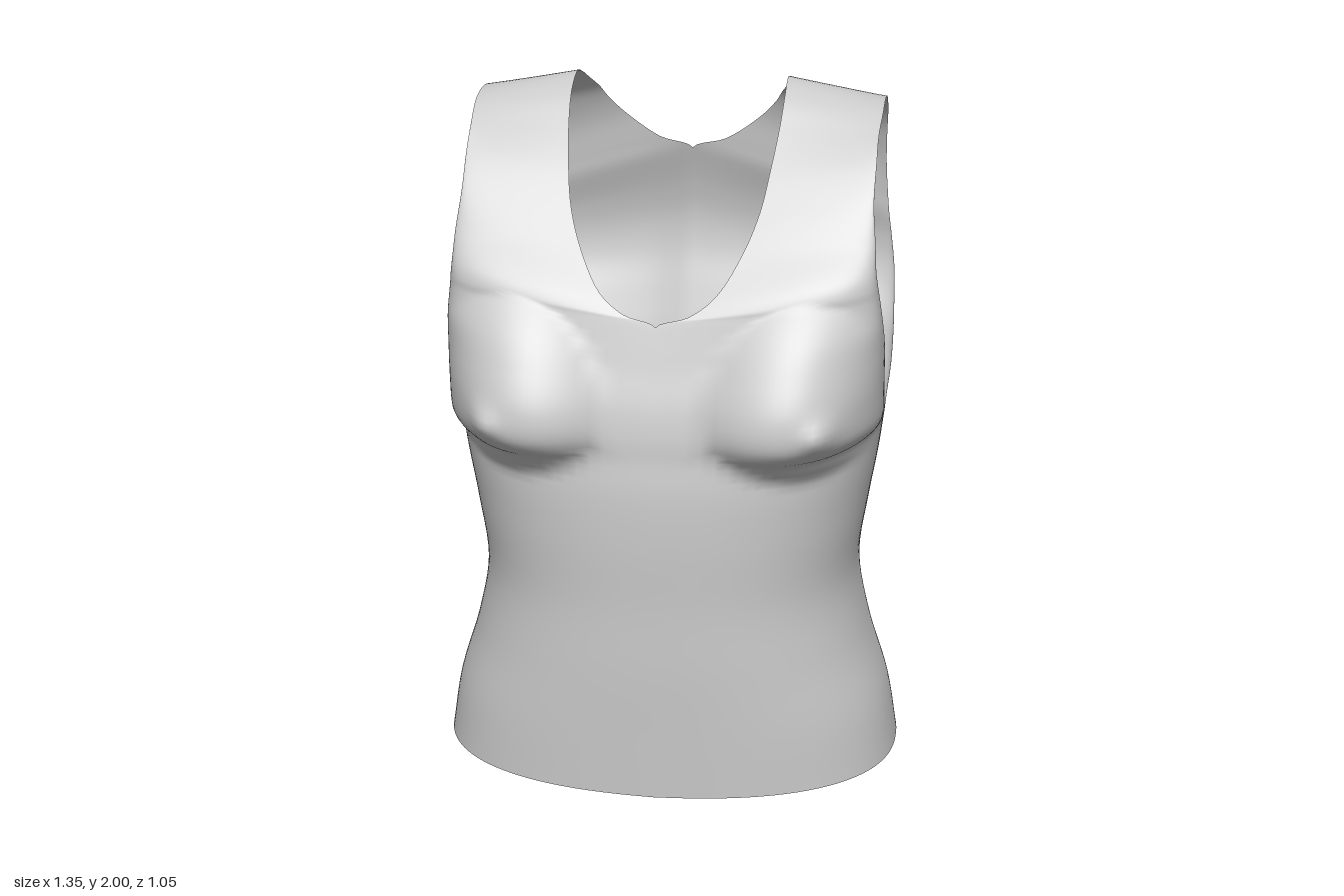
import * as THREE from 'three';
import { mergeVertices } from 'three/addons/utils/BufferGeometryUtils.js';

// Each row is a cross-section: inner edge x, y, z, outer edge x, y, z, squareness
const SEAM = [[0.675, 0.02, -0.05], [0.645, 0.2, -0.05], [0.585, 0.4, -0.05], [0.55, 0.6, -0.05],
  [0.575, 0.8, -0.05], [0.6, 0.95, -0.04], [0.615, 1.067, -0.02]];
const FRONT = [[0.005, 0.43], [0.2, 0.44], [0.4, 0.45], [0.6, 0.455], [0.8, 0.465], [0.95, 0.465], [1.05, 0.455]];
const BACK = [[0.03, -0.525], [0.2, -0.455], [0.4, -0.395], [0.6, -0.365], [0.8, -0.375], [0.95, -0.395], [1.04, -0.415]];

// Armhole front, over the shoulder, armhole back
const STRAP_FRONT = [
  [0, 1.05, 0.455, 0.615, 1.067, -0.02, 2.5],
  [0, 1.12, 0.45, 0.62, 1.12, 0.08, 2.9],
  [0, 1.2, 0.435, 0.62, 1.22, 0.115, 3],
  [0, 1.3, 0.405, 0.62, 1.32, 0.14, 3],
  [0, 1.37, 0.385, 0.615, 1.4, 0.18, 3],
  [0, 1.42, 0.37, 0.605, 1.48, 0.2, 2.8],
  [0.09, 1.45, 0.36, 0.6, 1.52, 0.215, 2.6],
  [0.16, 1.5, 0.33, 0.595, 1.56, 0.22, 2.5],
  [0.225, 1.6, 0.25, 0.59, 1.63, 0.2, 2.3],
  [0.265, 1.7, 0.17, 0.58, 1.73, 0.15, 2],
  [0.285, 1.8, 0.085, 0.58, 1.82, 0.075, 2],
  [0.3, 1.9, -0.02, 0.58, 1.885, 0, 2],
  [0.305, 1.965, -0.1, 0.585, 1.93, -0.1, 2],
];
const STRAP_BACK = [
  [0.305, 2, -0.2, 0.585, 1.945, -0.2, 2],
  [0.305, 1.98, -0.29, 0.585, 1.93, -0.3, 2],
  [0.295, 1.95, -0.35, 0.585, 1.88, -0.36, 2],
  [0.27, 1.91, -0.4, 0.582, 1.82, -0.4, 2],
  [0.25, 1.875, -0.425, 0.58, 1.76, -0.425, 2],
  [0.2, 1.82, -0.45, 0.58, 1.69, -0.445, 2],
  [0.1, 1.75, -0.465, 0.585, 1.6, -0.46, 2],
  [0, 1.72, -0.475, 0.59, 1.54, -0.465, 2],
  [0, 1.6, -0.51, 0.6, 1.46, -0.47, 2],
  [0, 1.5, -0.525, 0.61, 1.38, -0.455, 2],
  [0, 1.4, -0.515, 0.615, 1.3, -0.41, 2.1],
  [0, 1.28, -0.48, 0.62, 1.22, -0.32, 2.2],
  [0, 1.18, -0.45, 0.62, 1.14, -0.23, 2.3],
  [0, 1.1, -0.43, 0.615, 1.085, -0.13, 2.3],
  [0, 1.04, -0.415, 0.615, 1.067, -0.02, 2.3],
];

const COLUMNS = 32;
const STEPS = 5;

// Smooth the rows of a table along its length
function smoothRows(table) {
  const curve = (k) => new THREE.CatmullRomCurve3(table.map((r) => new THREE.Vector3(r[k], r[k + 1], r[k + 2])));
  const inner = curve(0), outer = curve(3);
  const count = (table.length - 1) * STEPS;
  return Array.from({ length: count + 1 }, (_, i) => {
    const k = Math.min(Math.floor(i / STEPS), table.length - 2);
    const e = THREE.MathUtils.lerp(table[k][6], table[k + 1][6], i / STEPS - k);
    const a = inner.getPoint(i / count);
    a.x = a.x < 0.002 ? 0 : a.x;
    return { a, b: outer.getPoint(i / count), e };
  });
}

// Bust and its tip, pushed forward from the chest
function bust(x, y) {
  const dx = (x - 0.42) / 0.28;
  const dy = (y - 1.17) / (y > 1.17 ? 0.32 : 0.185);
  const dome = Math.max(0, 1 - dx * dx - dy * dy);
  const tip = Math.exp(-((x - 0.47) ** 2 + (y - 1.16) ** 2) / 0.0018);
  return 0.115 * dome + 0.035 * tip;
}

// Groove along the spine
const spine = (x) => 0.022 * Math.exp(-((x / 0.09) ** 2));

// One point across a section, f = 0 at the inner edge and 1 at the outer edge
function sectionPoint({ a, b, e }, f, isFront) {
  const x = a.x + (b.x - a.x) * f;
  const y = a.y + (b.y - a.y) * f;
  const c = Math.pow(Math.max(0, 1 - Math.pow(f, e)), 1 / e);
  let z = b.z + (a.z - b.z) * c;
  z += isFront ? bust(x, y) * (1 - f ** 8) : spine(x) * (1 - f);
  return [x, y, z];
}

function garmentGeometry() {
  const body = (levels, e) => levels.map(([y, z], i) => [0, y, z, ...SEAM[i], e]);
  const front = smoothRows(body(FRONT, 2.4));
  const strap = smoothRows([...STRAP_FRONT, ...STRAP_BACK]);
  const back = smoothRows(body(BACK, 2.3).reverse());
  const rows = [...front, ...strap.slice(1), ...back.slice(1)];
  const lastFront = front.length - 1 + STRAP_FRONT.length * STEPS;

  const positions = [], indices = [];
  for (const side of [1, -1]) {
    const start = positions.length / 3;
    rows.forEach((row, i) => {
      for (let j = 0; j <= COLUMNS; j++) {
        const f = 1 - Math.pow(1 - j / COLUMNS, 2.5);
        const [x, y, z] = sectionPoint(row, f, i < lastFront);
        positions.push(side * x, y, z);
      }
    });
    for (let i = 0; i < rows.length - 1; i++) {
      for (let j = 0; j < COLUMNS; j++) {
        const p = start + i * (COLUMNS + 1) + j, q = p + COLUMNS + 1;
        if (side > 0) indices.push(p, p + 1, q + 1, p, q + 1, q);
        else indices.push(p, q + 1, p + 1, p, q, q + 1);
      }
    }
  }
  const geometry = new THREE.BufferGeometry();
  geometry.setAttribute('position', new THREE.Float32BufferAttribute(positions, 3));
  geometry.setIndex(indices);
  // Weld the centre line and side seams so the shading runs through
  const welded = mergeVertices(geometry, 1e-4);
  welded.computeVertexNormals();
  return welded;
}

export function createModel() {
  const group = new THREE.Group();
  group.name = 'sleevelessTop';
  const material = new THREE.MeshStandardMaterial({ color: 0xcccccc, side: THREE.DoubleSide });
  const garment = new THREE.Mesh(garmentGeometry(), material);
  garment.name = 'garment';
  group.add(garment);
  return group;
}
